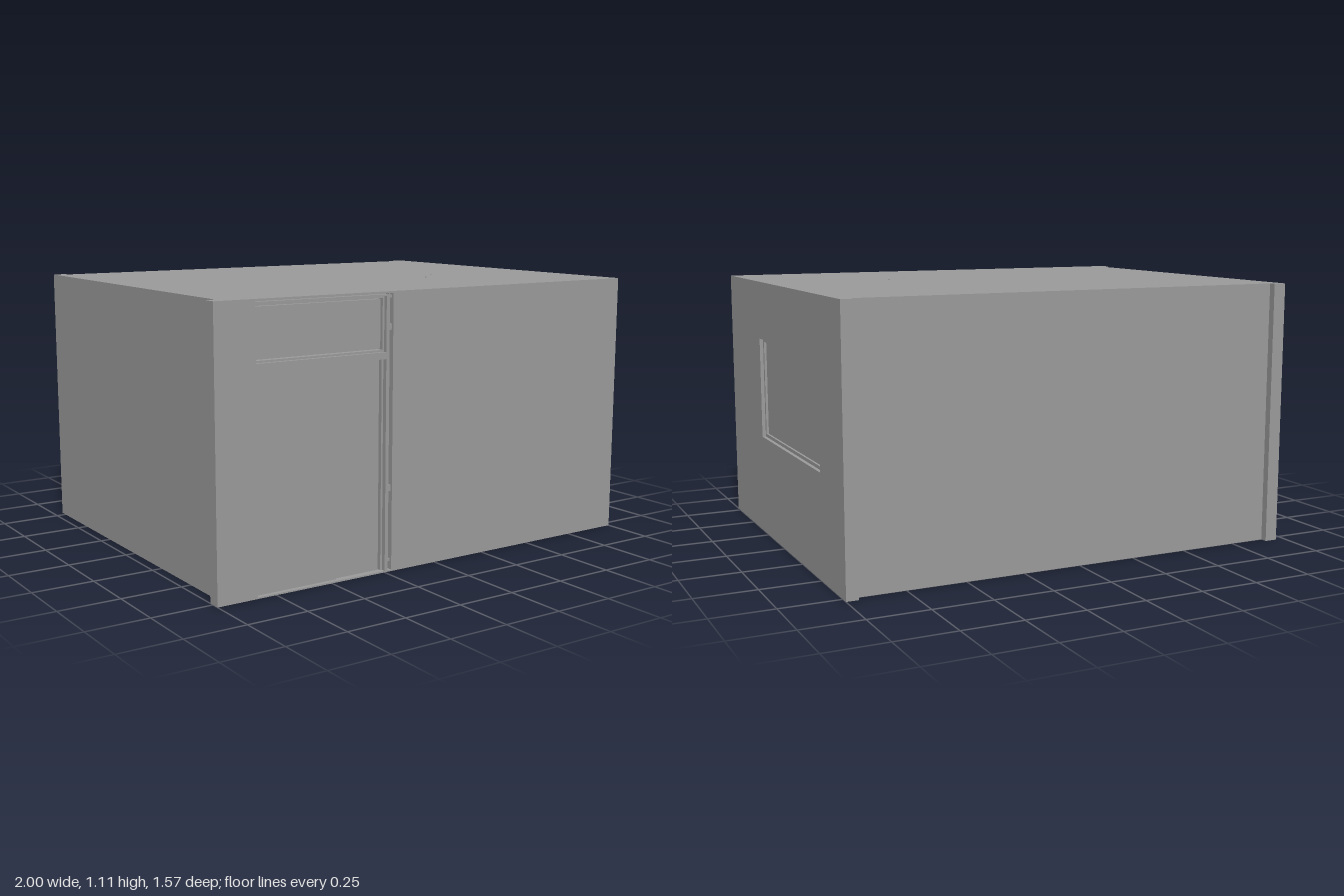
import * as THREE from 'three';

const H = 1.11;
const grey = new THREE.MeshStandardMaterial({ color: 0x9a9a9a, side: THREE.DoubleSide });

// Box given by its min and max corners
function block(parent, name, [x0, y0, z0], [x1, y1, z1]) {
  const mesh = new THREE.Mesh(new THREE.BoxGeometry(x1 - x0, y1 - y0, z1 - z0), grey);
  mesh.position.set((x0 + x1) / 2, (y0 + y1) / 2, (z0 + z1) / 2);
  mesh.name = name;
  parent.add(mesh);
}

function rectPoints([u0, v0, u1, v1]) {
  return [[u0, v0], [u1, v0], [u1, v1], [u0, v1]].map(([u, v]) => new THREE.Vector2(u, v));
}

// Upright slab facing +z, with rectangular openings
function panel(name, outline, holes, depth) {
  const shape = new THREE.Shape(rectPoints(outline));
  for (const hole of holes) shape.holes.push(new THREE.Path(rectPoints(hole).reverse()));
  const mesh = new THREE.Mesh(new THREE.ExtrudeGeometry(shape, { depth, bevelEnabled: false }), grey);
  mesh.name = name;
  return mesh;
}

// Window set behind the wall face at z = 0; gaps are the left, bottom,
// right and top slots between the frame and its pane
function windowUnit(name, [u0, v0, u1, v1], width, [left, bottom, right, top]) {
  const group = new THREE.Group();
  group.name = name;
  const inner = [u0 + width, v0 + width, u1 - width, v1 - width];
  const frame = panel('frame', [u0, v0, u1, v1], [inner], 0.035);
  frame.position.z = -0.05;
  group.add(frame);
  block(group, 'pane', [inner[0] + left, inner[1] + bottom, -0.045], [inner[2] - right, inner[3] - top, -0.024]);
  block(group, 'backing', [u0, v0, -0.05], [u1, v1, -0.043]);
  return group;
}

export function createModel() {
  const model = new THREE.Group();
  model.name = 'room';

  // Floor, ceiling and the two plain walls
  block(model, 'floor', [-0.955, 0, -0.75], [0.995, 0.005, 0.78]);
  block(model, 'ceiling', [-0.955, H - 0.006, -0.75], [0.995, H, 0.78]);
  block(model, 'leftSideWall', [-0.96, 0, -0.755], [-0.905, H, 0.73]);
  block(model, 'backWall', [-0.905, 0, -0.755], [0.95, H, -0.70]);
  block(model, 'backCornerStub', [-0.96, 0, -0.785], [-0.905, H, -0.755]);

  // Front wall with transom, doorway and narrow joints above and beside them
  const door = [-0.83, 0.006, -0.25, 0.85];
  const transom = [-0.83, 0.877, -0.25, 1.092];
  const joint = [-0.235, 0.006, -0.218, 1.103];
  const header = [-0.83, 1.099, -0.24, 1.103];
  const frontWall = panel('frontWall', [-1, 0, 1, H], [door, transom, joint, header], 0.055);
  frontWall.position.z = 0.73;
  model.add(frontWall);

  const transomWindow = windowUnit('transomWindow', transom, 0.008, [0, 0.004, 0.004, 0.004]);
  transomWindow.position.z = 0.785;
  model.add(transomWindow);

  // Sliding door leaves, one set behind the other, with slots at both sides of the rear one
  const doorway = new THREE.Group();
  doorway.name = 'doorway';
  block(doorway, 'frontLeaf', [-0.83, 0.006, 0.74], [-0.469, 0.85, 0.766]);
  block(doorway, 'rearLeaf', [-0.464, 0.006, 0.735], [-0.263, 0.85, 0.756]);
  block(doorway, 'doorJamb', [-0.258, 0.006, 0.735], [-0.25, 0.85, 0.766]);
  block(doorway, 'doorBacking', [-0.83, 0.006, 0.73], [-0.25, 0.85, 0.74]);
  model.add(doorway);

  // Joint backings and the small fixings
  block(model, 'headerBacking', [-0.83, 1.099, 0.73], [-0.24, 1.103, 0.765]);
  block(model, 'jointBacking', [-0.235, 0.006, 0.73], [-0.218, 1.103, 0.755]);
  for (const [y0, y1] of [[0.04, 0.05], [0.325, 0.35], [0.96, 0.985], [1.085, 1.095]])
    block(model, 'jointFixing', [-0.235, y0, 0.75], [-0.218, y1, 0.775]);

  // Right-hand wall, turned to face +x, with its window
  const sideOpening = [-0.31, 0.43, 0.507, 0.863];
  const side = new THREE.Group();
  side.name = 'windowWall';
  const sideWall = panel('sideWall', [-0.73, 0, 0.785, H], [sideOpening], 0.05);
  sideWall.position.z = -0.05;
  side.add(sideWall, windowUnit('sideWindow', sideOpening, 0.014, [0.004, 0, 0, 0]));
  side.rotation.y = Math.PI / 2;
  side.position.x = 1;
  model.add(side);

  // Two tiny pins poking through the ceiling
  for (const [x, z] of [[0.335, 0.285], [0.45, 0.17]]) {
    const pin = new THREE.Mesh(new THREE.CylinderGeometry(0.003, 0.003, 0.01, 8), grey);
    pin.name = 'ceilingPin';
    pin.position.set(x, H - 0.002, z);
    model.add(pin);
  }
  return model;
}
